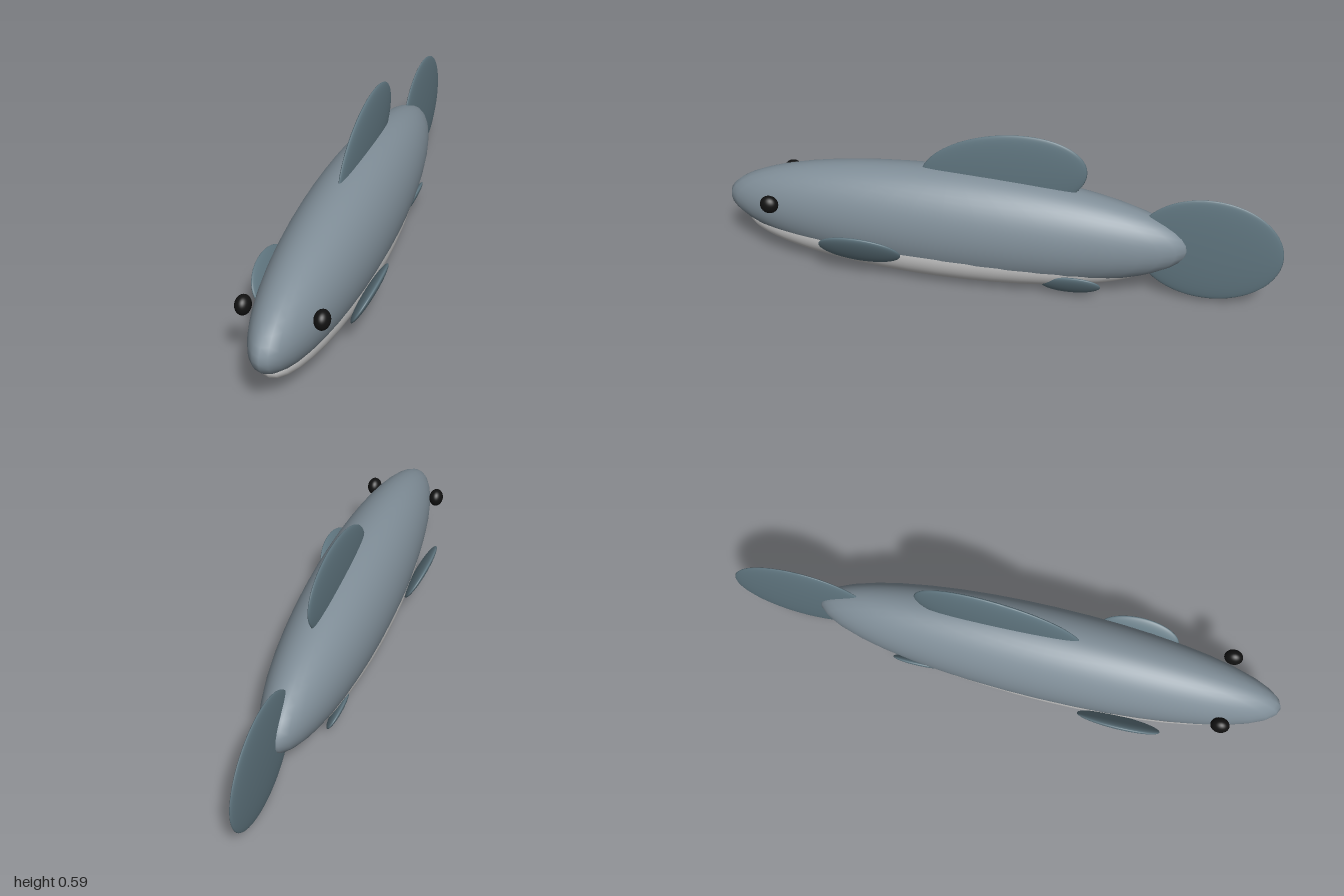
import * as THREE from 'three';

const paint = (color, side = THREE.FrontSide) => {
  const m = new THREE.MeshStandardMaterial({ color });
  m.side = side;
  return m;
};

export function createModel() {
  const fish = new THREE.Group();
  fish.name = 'fish';

  const skin = paint(0x808e98);
  const finSkin = paint(0x607680);
  const eyeBlack = paint(0x111111);
  const bellyWhite = paint(0xe6e6e6, THREE.DoubleSide);

  const ball = new THREE.SphereGeometry(1, 40, 28);
  const lowerHalf = new THREE.SphereGeometry(1, 40, 14, 0, Math.PI * 2, Math.PI / 2, Math.PI / 2);

  // Every part is a stretched ball: centre, radii, pitch about x, lean about z
  function ellipsoid(name, material, centre, radii, pitch = 0, lean = 0, geometry = ball) {
    const mesh = new THREE.Mesh(geometry, material);
    mesh.name = name;
    mesh.position.set(...centre);
    mesh.scale.set(...radii);
    mesh.rotation.set(pitch, 0, lean, 'ZYX');
    fish.add(mesh);
  }

  // Trunk, with the pale half shell of the belly forming the lower jaw
  ellipsoid('body', skin, [0, 0.22, 0.16], [0.16, 0.207, 0.84]);
  ellipsoid('belly', bellyWhite, [0, 0.14, 0.19], [0.147, 0.14, 0.745], 0, 0, lowerHalf);

  // Fins on the centre line
  ellipsoid('dorsalFin', finSkin, [0, 0.43, -0.02], [0.02, 0.155, 0.3], 0.21);
  ellipsoid('tailFin', finSkin, [0, 0.224, -0.745], [0.018, 0.202, 0.255]);

  // Paired fins and eyes
  for (const [side, s] of [['left', 1], ['right', -1]]) {
    ellipsoid(side + 'Eye', eyeBlack, [s * 0.1275, 0.272, 0.8], [0.026, 0.033, 0.033]);
    ellipsoid(side + 'PectoralFin', finSkin, [s * 0.168, 0.155, 0.46], [0.016, 0.084, 0.15], 0, -s * Math.PI / 6);
    ellipsoid(side + 'PelvicFin', finSkin, [s * 0.092, 0.068, -0.285], [0.013, 0.054, 0.107], 0.17, -s * Math.PI / 6);
  }

  return fish;
}
